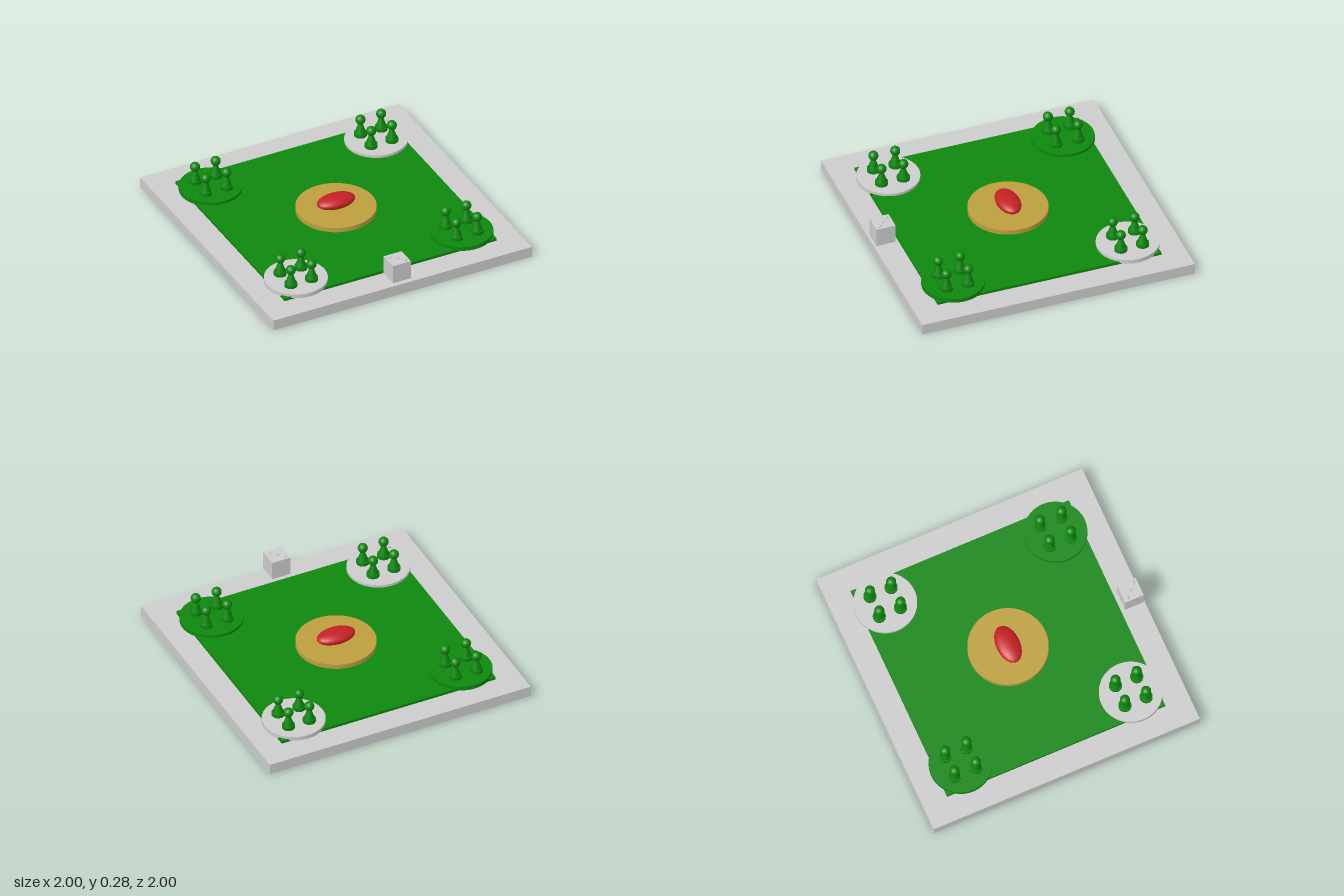
import * as THREE from 'three';

const material = (name, color) => {
  const m = new THREE.MeshStandardMaterial({ color });
  m.name = name;
  return m;
};

export function createModel() {
  const gray = material('lightGray', 0xcccccc);
  const green = material('green', 0x0d870d);
  const gold = material('gold', 0xbd9f3f);
  const red = material('red', 0xc42024);

  const add = (parent, name, geometry, mat, x, y, z) => {
    const mesh = new THREE.Mesh(geometry, mat);
    mesh.name = name;
    mesh.position.set(x, y, z);
    parent.add(mesh);
    return mesh;
  };

  const model = new THREE.Group();
  model.name = 'boardGame';

  // Board and playing field
  add(model, 'board', new THREE.BoxGeometry(2, 0.08, 2), gray, 0, 0.04, 0);
  add(model, 'field', new THREE.BoxGeometry(1.64, 0.02, 1.64), green, 0, 0.09, 0);

  // Centre plate with a flattened oval on top
  add(model, 'centrePlate', new THREE.CylinderGeometry(0.28, 0.28, 0.035, 64), gold, 0, 0.1175, 0);
  add(model, 'centreOval', new THREE.SphereGeometry(1, 40, 24), red, 0, 0.175, 0)
    .scale.set(0.142, 0.044, 0.083);

  // Corner bases, alternating in colour, each with four pawns
  const baseGeometry = new THREE.CylinderGeometry(0.22, 0.22, 0.03, 64);
  const footGeometry = new THREE.CylinderGeometry(0.045, 0.045, 0.025, 32);
  const bodyGeometry = new THREE.CylinderGeometry(0.012, 0.04, 0.085, 32);
  const headGeometry = new THREE.SphereGeometry(0.035, 24, 16);

  for (const sx of [-1, 1]) for (const sz of [-1, 1]) {
    const corner = new THREE.Group();
    corner.name = 'corner';
    corner.position.set(sx * 0.64, 0, sz * 0.64);
    model.add(corner);
    add(corner, 'cornerBase', baseGeometry, sx === sz ? green : gray, 0, 0.105, 0);

    for (const px of [-0.08, 0.08]) for (const pz of [-0.08, 0.08]) {
      const pawn = new THREE.Group();
      pawn.name = 'pawn';
      pawn.position.set(px, 0.12, pz);
      corner.add(pawn);
      add(pawn, 'pawnFoot', footGeometry, green, 0, 0.0125, 0);
      add(pawn, 'pawnBody', bodyGeometry, green, 0, 0.0625, 0);
      add(pawn, 'pawnHead', headGeometry, green, 0, 0.128, 0);
    }
  }

  // Die with three raised pips on a diagonal
  const die = new THREE.Group();
  die.name = 'die';
  die.position.set(0, 0.17, 0.92);
  model.add(die);
  add(die, 'dieCube', new THREE.BoxGeometry(0.14, 0.14, 0.14), gray, 0, 0, 0);
  const pipGeometry = new THREE.SphereGeometry(0.012, 16, 12);
  for (const t of [-0.04, 0, 0.04]) add(die, 'pip', pipGeometry, gray, t, 0.072, t);

  return model;
}
